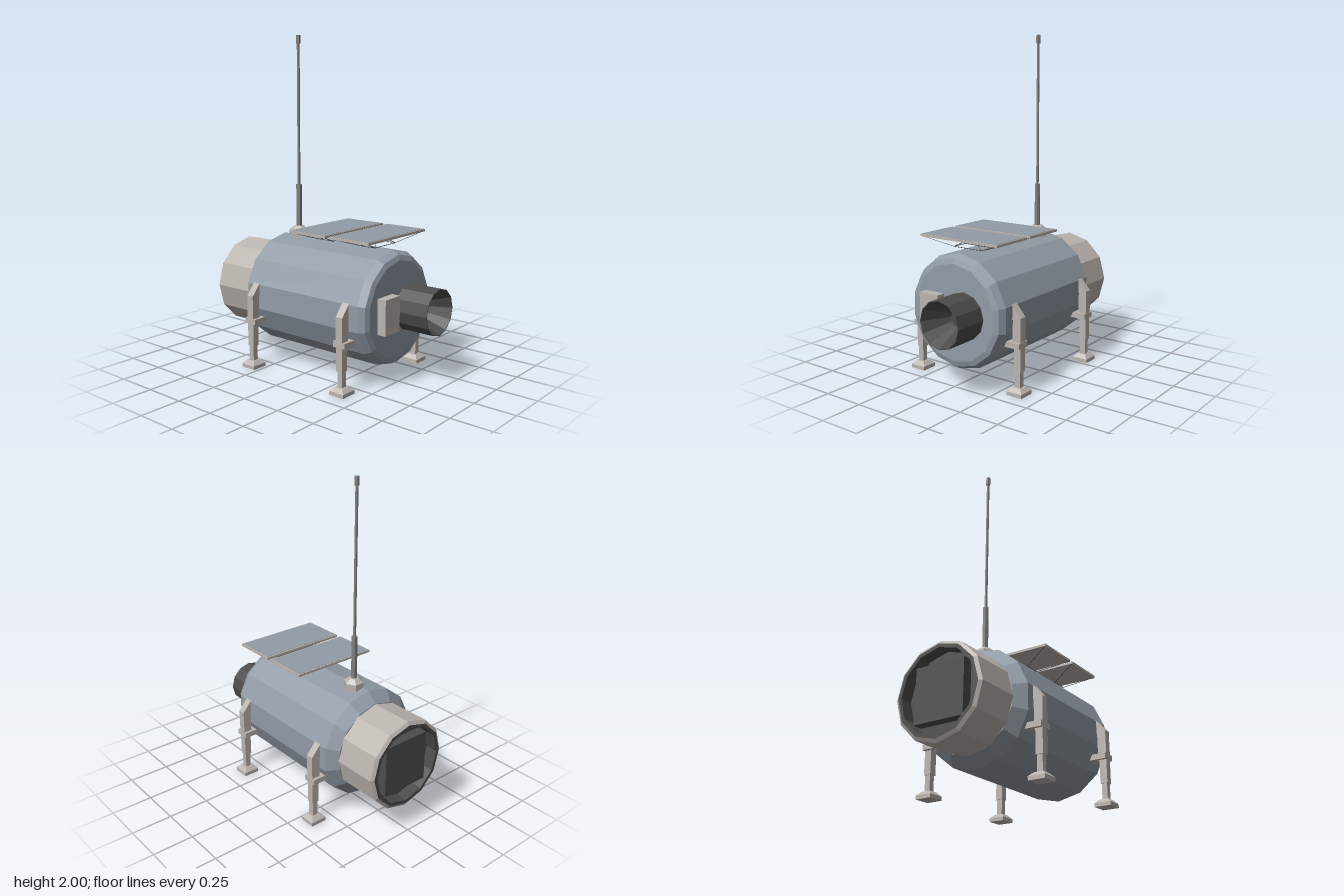
import * as THREE from 'three';

const paint = (color) => new THREE.MeshStandardMaterial({ color, flatShading: true });

export function createModel() {
  const blue = paint(0x929ba6), beige = paint(0xbab4ae), dark = paint(0x4c4c4c), grey = paint(0x808080);
  const model = new THREE.Group();

  function add(name, geometry, material, x = 0, y = 0, z = 0, parent = model) {
    const mesh = new THREE.Mesh(geometry, material);
    mesh.name = name;
    mesh.position.set(x, y, z);
    parent.add(mesh);
    return mesh;
  }
  const box = (w, h, d) => new THREE.BoxGeometry(w, h, d);

  // Lathe turned to lie along x, with an edge at the top; profile is [x, radius]
  function turned(profile, sides) {
    const points = profile.map(([x, r]) => new THREE.Vector2(r, x));
    return new THREE.LatheGeometry(points, sides, Math.PI / 2).rotateZ(-Math.PI / 2);
  }

  // Square frustum with its base at y = 0
  function frustum(bottom, top, height) {
    return new THREE.CylinderGeometry(top / Math.SQRT2, bottom / Math.SQRT2, height, 4)
      .rotateY(Math.PI / 4).translate(0, height / 2, 0);
  }

  // Thin rod between two points
  function rod(name, a, b, radius, material, parent) {
    const from = new THREE.Vector3(...a), to = new THREE.Vector3(...b);
    const along = to.clone().sub(from);
    const mesh = add(name, new THREE.CylinderGeometry(radius, radius, along.length(), 4), material, 0, 0, 0, parent);
    mesh.position.copy(from).add(to).multiplyScalar(0.5);
    mesh.quaternion.setFromUnitVectors(new THREE.Vector3(0, 1, 0), along.normalize());
  }

  // Main tank and the recessed docking collar
  add('hull', turned([[-0.45, 0], [-0.45, 0.275], [-0.39, 0.337], [0.45, 0.337], [0.49, 0.315], [0.5, 0.285], [0.5, 0]], 14),
    blue, 0, 0.433);
  add('collar', turned([[-0.725, 0.255], [-0.712, 0.275], [-0.43, 0.275]], 12), beige, 0, 0.43);
  add('collarRecess', turned([[-0.65, 0], [-0.65, 0.235], [-0.725, 0.235], [-0.725, 0.256]], 12), dark, 0, 0.43);
  add('hatch', box(0.06, 0.31, 0.31), dark, -0.68, 0.43);

  // Nozzle with a conical bore, and the equipment box beside it
  add('nozzle', turned([[0.51, 0], [0.51, 0.137], [0.72, 0.137], [0.72, 0.133], [0.56, 0.05], [0.56, 0]], 12),
    dark, 0, 0.433, -0.082);
  add('nozzleNeck', turned([[0.49, 0.05], [0.52, 0.05]], 12), dark, 0, 0.433, -0.082);
  add('equipmentBox', box(0.07, 0.205, 0.135), beige, 0.52, 0.433, 0.14);

  // Antenna mast
  const mast = new THREE.Group();
  mast.name = 'antenna';
  mast.position.set(-0.288, 0, -0.024);
  model.add(mast);
  for (const [name, rTop, rBottom, y0, y1, material] of [
    ['antennaBase', 0.06, 0.06, 0.74, 0.8, beige],
    ['antennaBaseCap', 0.03, 0.06, 0.8, 0.825, beige],
    ['antennaSleeve', 0.018, 0.018, 0.82, 1.085, grey],
    ['antennaRod', 0.009, 0.009, 1.08, 1.96, grey],
    ['antennaTip', 0.014, 0.014, 1.95, 2, grey],
  ]) {
    add(name, new THREE.CylinderGeometry(rTop, rBottom, y1 - y0, 6), material, 0, (y0 + y1) / 2, 0, mast);
  }

  // Solar panels on thin braces
  for (const x of [0.031, 0.339]) {
    const panel = new THREE.Group();
    panel.name = 'solarPanel';
    panel.position.set(x, 0, -0.012);
    model.add(panel);
    add('panelFrame', box(0.277, 0.014, 0.555), beige, 0, 0.847, 0, panel);
    add('panelCells', box(0.261, 0.004, 0.539), blue, 0, 0.8535, 0, panel);
    for (const s of [-1, 1]) {
      rod('braceSide', [s * 0.05, 0.787, -0.1], [s * 0.05, 0.787, 0.1], 0.002, dark, panel);
      rod('braceEnd', [-0.05, 0.787, s * 0.1], [0.05, 0.787, s * 0.1], 0.002, dark, panel);
      for (const t of [-1, 1]) {
        rod('braceOuter', [s * 0.05, 0.787, t * 0.1], [s * 0.135, 0.843, t * 0.274], 0.002, dark, panel);
        rod('braceInner', [s * 0.05, 0.787, t * 0.1], [0, 0.842, 0], 0.002, dark, panel);
      }
    }
  }

  // Four legs, drawn on the +z side and turned round for the other
  const upper = new THREE.Shape([[0.332, 0.27], [0.385, 0.27], [0.385, 0.445], [0.325, 0.515], [0.3, 0.515], [0.3, 0.45], [0.332, 0.43]]
    .map(([z, y]) => new THREE.Vector2(-z, y)));
  const upperGeometry = new THREE.ExtrudeGeometry(upper, { depth: 0.046, bevelEnabled: false })
    .translate(0, 0, -0.023).rotateY(Math.PI / 2);
  for (const x of [-0.32, 0.37]) {
    for (const side of [1, -1]) {
      const leg = new THREE.Group();
      leg.name = 'leg';
      leg.position.x = x;
      leg.rotation.y = side > 0 ? 0 : Math.PI;
      model.add(leg);
      add('legUpper', upperGeometry, beige, 0, 0, 0, leg);
      add('legLower', box(0.044, 0.14, 0.044), beige, 0, 0.205, 0.361, leg);
      add('legShin', box(0.034, 0.11, 0.034), beige, 0, 0.09, 0.361, leg);
      add('legBracket', box(0.084, 0.033, 0.1), beige, 0, 0.289, 0.337, leg);
      add('footPad', box(0.1, 0.022, 0.1), beige, 0, 0.011, 0.36, leg);
      add('footTop', frustum(0.1, 0.055, 0.022), beige, 0, 0.022, 0.36, leg);
    }
  }
  return model;
}
